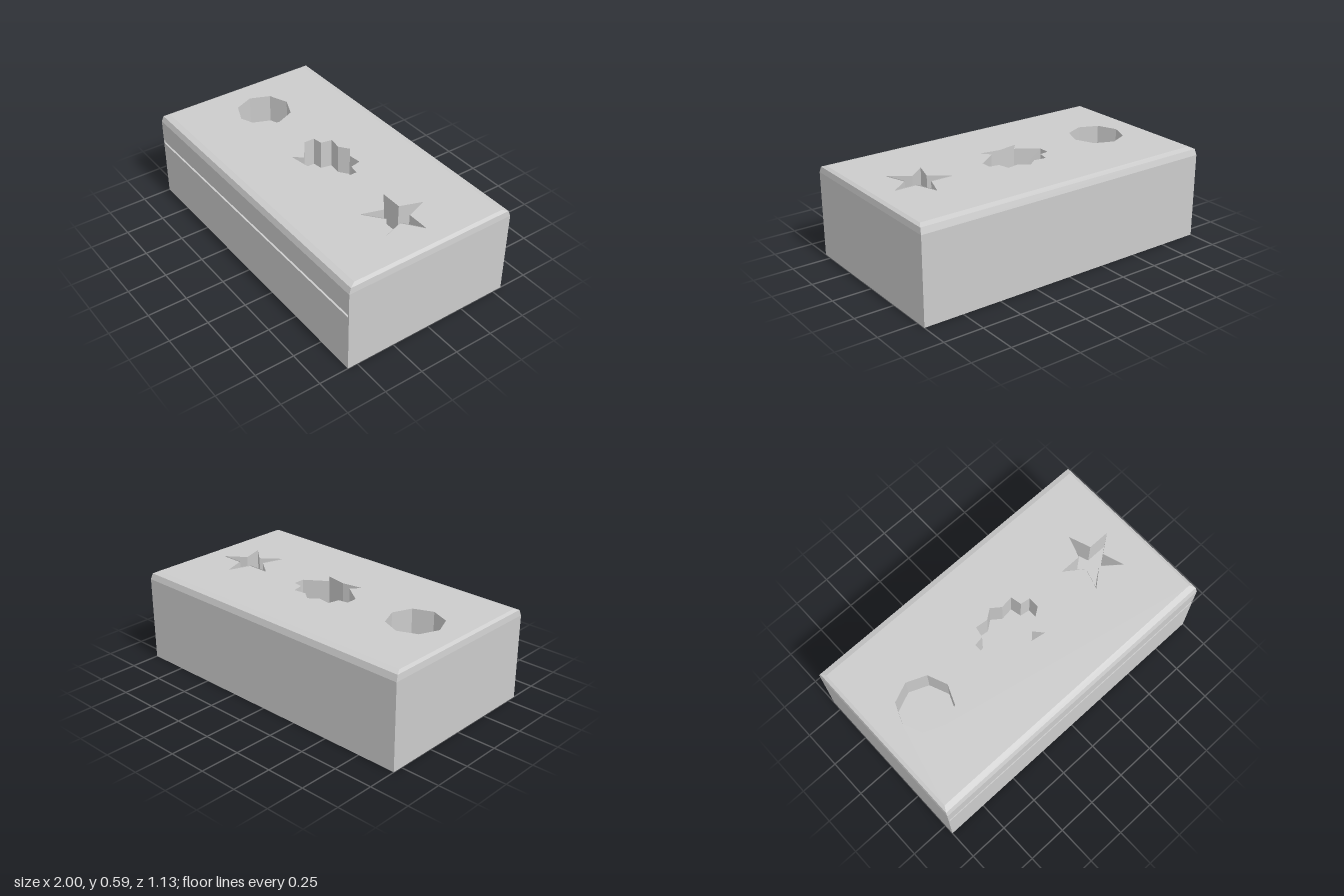
import * as THREE from 'three';

const material = new THREE.MeshStandardMaterial({ color: 0xcccccc, flatShading: true, side: THREE.DoubleSide });
const HX = 1, HZ = 0.563, TOP = 0.588;
const SLOT = { x: 0.993, low: 0.375, high: 0.405, back: -0.55 };

function add(group, name, geometry) {
  const mesh = new THREE.Mesh(geometry, material);
  mesh.name = name;
  group.add(mesh);
  return mesh;
}

// Skin between successive loops of [x, y, z] points
function loft(loops, closed = true) {
  const pos = [];
  for (let k = 0; k < loops.length - 1; k++) {
    const lo = loops[k], hi = loops[k + 1], n = lo.length;
    for (let i = 0; i < (closed ? n : n - 1); i++) {
      const j = (i + 1) % n;
      pos.push(...lo[i], ...lo[j], ...hi[j], ...lo[i], ...hi[j], ...hi[i]);
    }
  }
  const g = new THREE.BufferGeometry();
  g.setAttribute('position', new THREE.Float32BufferAttribute(pos, 3));
  g.computeVertexNormals();
  return g;
}

// Rectangular loop at a given height, ending on the front edge
const ring = (hx, hz, y) => [[hx, y, hz], [hx, y, -hz], [-hx, y, -hz], [-hx, y, hz]];

// Completes a symmetric outline from its +x half, back point to front point, as [x, z]
function mirrored(half, cx) {
  const other = half.slice(1, -1).reverse().map(([x, z]) => [-x, z]);
  return [...half, ...other].reverse().map(([x, z]) => [x + cx, z]);
}

const rectangle = (x0, y0, x1, y1) =>
  [[x0, y0], [x1, y0], [x1, y1], [x0, y1]].map(([x, y]) => new THREE.Vector2(x, y));

export function createModel() {
  const model = new THREE.Group();
  model.name = 'shapeBox';

  // Sides and back, then the front panel pierced by the slot
  add(model, 'sideWalls', loft([ring(HX, HZ, 0), ring(HX, HZ, 0.54)], false));
  const front = new THREE.Shape(rectangle(-HX, 0, HX, 0.54));
  front.holes.push(new THREE.Path(rectangle(-SLOT.x, SLOT.low, SLOT.x, SLOT.high)));
  add(model, 'frontPanel', new THREE.ShapeGeometry(front)).position.z = HZ;
  add(model, 'bottom', new THREE.PlaneGeometry(2 * HX, 2 * HZ).rotateX(Math.PI / 2));

  // Faceted shoulder round the top
  add(model, 'topBevel', loft([
    ring(HX, HZ, 0.54), ring(0.995, 0.55, 0.577), ring(0.975, 0.515, TOP),
  ]));

  // Outlines of the three wells
  const octagon = [];
  for (let i = 0; i <= 4; i++) {
    const a = i * Math.PI / 4;
    octagon.push([0.172 * Math.sin(a), -0.172 * Math.cos(a)]);
  }
  const leaf = [[0, -0.185], [0.06, -0.14], [0.14, -0.15], [0.155, -0.08], [0.217, -0.07],
    [0.217, 0], [0.085, 0.093], [0.135, 0.15], [0, 0.127]];
  const star = [[0, -0.2], [0.048, -0.065], [0.188, -0.065], [0.072, 0.02], [0.114, 0.152], [0, 0.06]];
  const wells = [
    { name: 'octagonWell', outline: mirrored(octagon, -0.668), rim: TOP },
    { name: 'leafWell', outline: mirrored(leaf, 0), rim: TOP },
    { name: 'starWell', outline: mirrored(star, 0.667), rim: 0.592 },
  ];

  // Top panel with the openings, and walls reaching down to the slot
  const top = new THREE.Shape(rectangle(-0.975, -0.515, 0.975, 0.515));
  for (const { name, outline, rim } of wells) {
    top.holes.push(new THREE.Path(outline.map(([x, z]) => new THREE.Vector2(x, -z))));
    const loopAt = (y) => outline.map(([x, z]) => [x, y, z]);
    add(model, name, loft([loopAt(rim), loopAt(SLOT.low + 0.02)]));
  }
  add(model, 'topPanel', new THREE.ShapeGeometry(top).rotateX(-Math.PI / 2)).position.y = TOP;

  // Slot floor and ends, and the tray that slides in it below the wells
  const slotAt = (z) => [[-SLOT.x, SLOT.low, z], [SLOT.x, SLOT.low, z]];
  add(model, 'slotFloor', loft([slotAt(HZ), slotAt(SLOT.back)], false));
  const tray = add(model, 'slidingTray', new THREE.BoxGeometry(1.98, 0.015, 1.11));
  tray.position.set(0, 0.3925, 0.003);

  return model;
}
